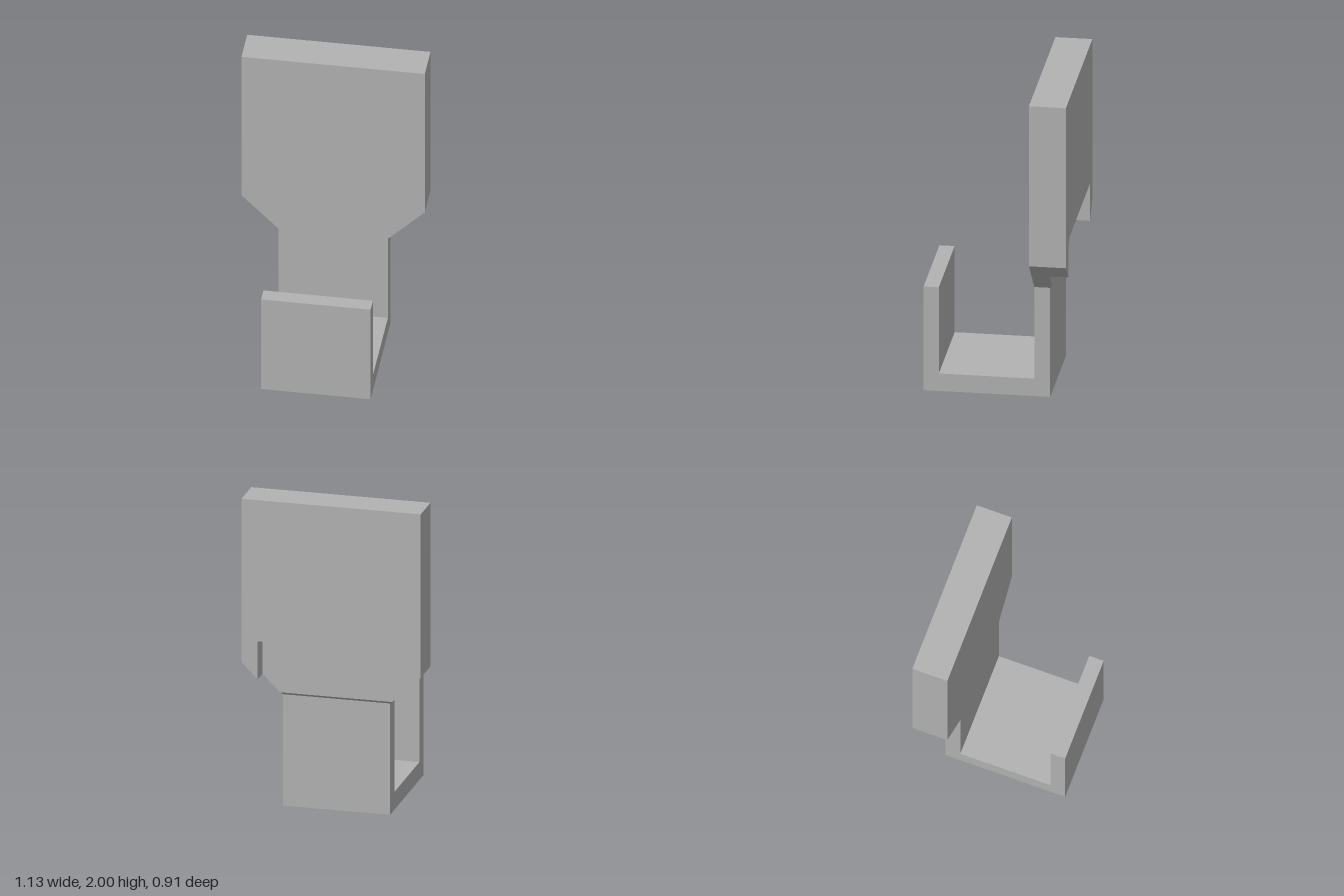
import * as THREE from 'three';

// Plate and hook levels
const HALF = 0.566, NECK = 0.338, RECESS = 0.464;
const FRONT = -0.227, WALL_BACK = -0.325, MID = -0.341, BACK = -0.455;
const SHOULDER = 0.946, NECK_Y = 0.718, RECESS_Y = 1.09;

const gray = new THREE.MeshStandardMaterial({ color: 0xb2b2b2, flatShading: true });
gray.name = 'light gray';

// Extrude an outline and leave it with hard edges
function extrude(points, depth, steps = 1) {
  const shape = new THREE.Shape(points.map(([x, y]) => new THREE.Vector2(x, y)));
  return new THREE.ExtrudeGeometry(shape, { depth, steps, bevelEnabled: false });
}

// Move each vertex by a rule, then refresh the normals
function reshape(geometry, rule) {
  const p = geometry.attributes.position, v = new THREE.Vector3();
  for (let i = 0; i < p.count; i++) {
    rule(v.fromBufferAttribute(p, i));
    p.setXYZ(i, v.x, v.y, v.z);
  }
  geometry.computeVertexNormals();
  return geometry;
}

// Complete a right-hand outline with its mirror image
const mirrored = (half) => [...half, ...half.map(([x, y]) => [-x, y]).reverse()];

export function createModel() {
  const group = new THREE.Group();
  group.name = 'wallHook';
  const add = (name, geometry) => {
    const mesh = new THREE.Mesh(geometry, gray);
    mesh.name = name;
    group.add(mesh);
    return mesh;
  };

  // U-shaped hook: side profile (z, y) swept across the width
  const hook = extrude([
    [0.455, 0], [0.455, 0.682], [0.361, 0.682], [0.361, 0.115],
    [FRONT, 0.115], [FRONT, NECK_Y], [WALL_BACK, NECK_Y], [WALL_BACK, 0],
  ], 2 * NECK);
  hook.rotateY(-Math.PI / 2);
  hook.translate(NECK, 0, 0);
  add('hook', hook);

  // Front layer of the plate, with a small chamfer under its back edge
  const depth = FRONT - MID, chamfer = WALL_BACK - MID;
  const front = extrude(mirrored([
    [NECK, NECK_Y], [HALF, SHOULDER], [HALF, 2],
  ]), depth, 2);
  reshape(front, (v) => {
    if (Math.abs(v.z - depth / 2) < 0.001) v.z = chamfer;
    if (v.z < 0.001 && v.y < NECK_Y + 0.001) {
      v.y += chamfer;
      v.x += Math.sign(v.x) * chamfer;
    }
  });
  front.translate(0, 0, MID);
  add('frontPlate', front);

  // Back layer with an open recess and an undercut hanging ledge
  const ledgeDepth = MID - BACK;
  const back = extrude(mirrored([
    [RECESS, RECESS_Y], [RECESS, SHOULDER - (HALF - RECESS)],
    [HALF, SHOULDER], [HALF, 2],
  ]), ledgeDepth);
  reshape(back, (v) => {
    if (v.z > 0.001 && Math.abs(v.y - RECESS_Y) < 0.001) v.y += ledgeDepth;
  });
  back.translate(0, 0, BACK);
  add('backCleat', back);

  return group;
}
